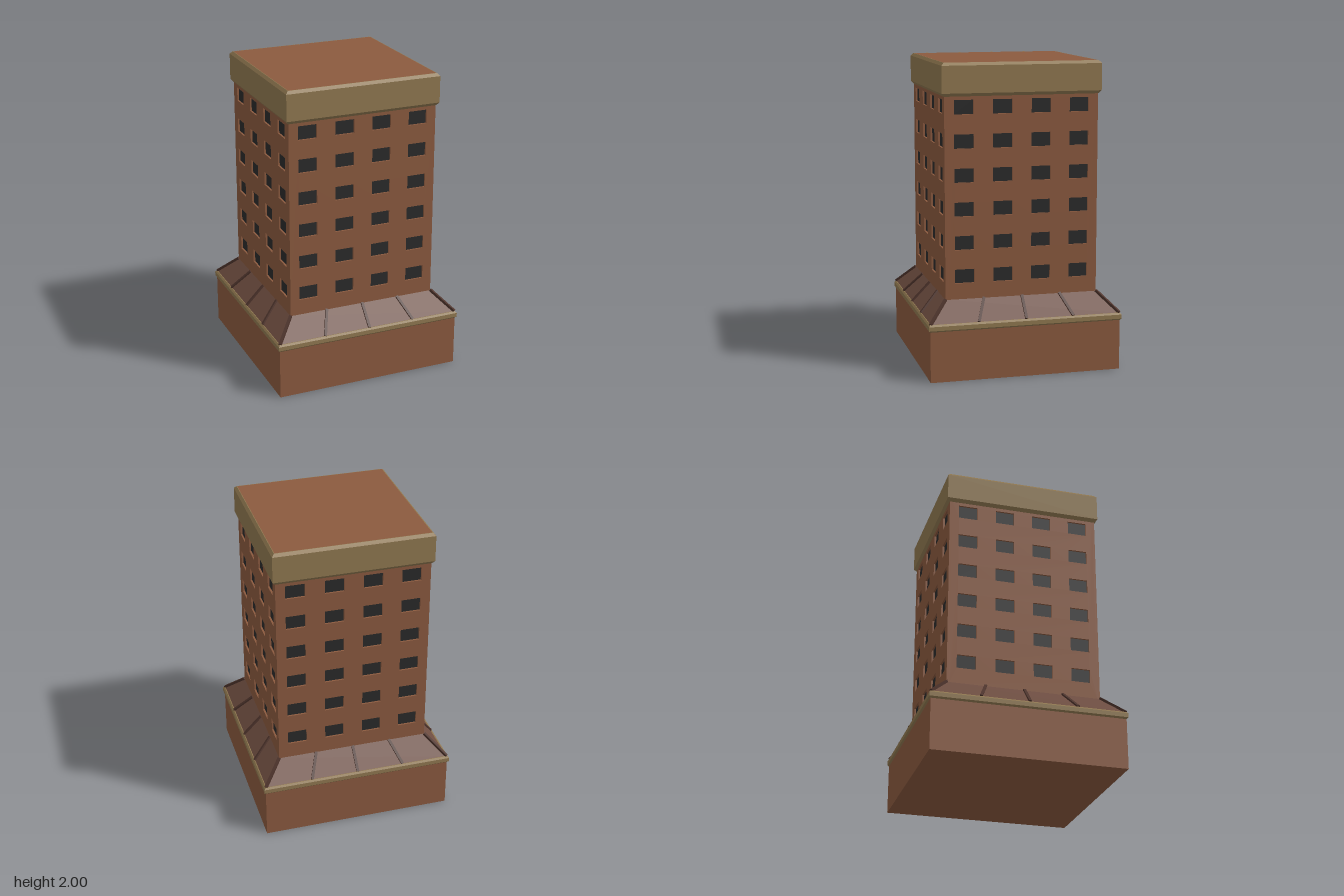
import * as THREE from 'three';

const mat = (color) => new THREE.MeshStandardMaterial({ color, flatShading: true });
const brick = mat(0x8b5a3f), trim = mat(0x907850), slate = mat(0x6f4e41), ribDark = mat(0x4e342c), glass = mat(0x2a2a2a);

function addMesh(parent, name, geometry, material) {
  const mesh = new THREE.Mesh(geometry, material);
  mesh.name = name;
  parent.add(mesh);
  return mesh;
}

// Four-sided ring or solid; profile is [half width, height] from bottom to top
function squareProfile(profile) {
  const points = profile.map(([half, y]) => new THREE.Vector2(half * Math.SQRT2, y));
  const geometry = new THREE.LatheGeometry(points, 4, Math.PI / 4).toNonIndexed();
  geometry.computeVertexNormals();
  return geometry;
}

// Raised seam lying on a slope, from point a to point b, facing along the given normal
function addRib(parent, name, a, b, normal) {
  const dir = b.clone().sub(a);
  const length = dir.length();
  dir.normalize();
  const side = new THREE.Vector3().crossVectors(dir, normal).normalize();
  const up = new THREE.Vector3().crossVectors(side, dir);
  const rib = addMesh(parent, name, new THREE.BoxGeometry(0.018, length, 0.018), ribDark);
  rib.quaternion.setFromRotationMatrix(new THREE.Matrix4().makeBasis(side, dir, up));
  rib.position.copy(a).add(b).multiplyScalar(0.5);
}

const RECESS = 0.014, WALL_BOTTOM = 0.49, WALL_TOP = 1.8;
const columns = [-0.375, -0.125, 0.125, 0.375];
const rows = Array.from({ length: 6 }, (_, i) => 0.648 + i * 0.215);

// Wall panel with an opening for each window
function wallGeometry(half) {
  const shape = new THREE.Shape([
    new THREE.Vector2(-half, WALL_BOTTOM), new THREE.Vector2(half, WALL_BOTTOM),
    new THREE.Vector2(half, WALL_TOP), new THREE.Vector2(-half, WALL_TOP),
  ]);
  for (const x of columns) for (const y of rows) {
    const w = 0.0625, h = 0.045;
    shape.holes.push(new THREE.Path([
      new THREE.Vector2(x - w, y - h), new THREE.Vector2(x - w, y + h),
      new THREE.Vector2(x + w, y + h), new THREE.Vector2(x + w, y - h),
    ]));
  }
  return new THREE.ExtrudeGeometry(shape, { depth: RECESS, bevelEnabled: false });
}

export function createModel() {
  const model = new THREE.Group();
  model.name = 'towerBlock';

  // Ground floor and its ledge
  addMesh(model, 'groundFloor', new THREE.BoxGeometry(1.25, 0.34, 1.25), brick).position.y = 0.17;
  addMesh(model, 'ledge', squareProfile([
    [0.6, 0.328], [0.625, 0.328], [0.635, 0.338], [0.635, 0.365], [0.625, 0.376], [0.5, 0.376],
  ]), trim);

  // Sloping skirt roof
  addMesh(model, 'skirtRoof', squareProfile([[0.622, 0.374], [0.498, 0.502]]), slate);

  for (let i = 0; i < 4; i++) {
    const face = new THREE.Group();
    face.name = ['frontSide', 'leftSide', 'backSide', 'rightSide'][i];
    face.rotation.y = i * Math.PI / 2;
    model.add(face);

    // Wall with recessed windows
    const wall = addMesh(face, 'wall', wallGeometry(i % 2 ? 0.5 - RECESS : 0.5), brick);
    wall.position.z = 0.5 - RECESS;
    for (const x of columns) for (const y of rows) {
      addMesh(face, 'windowPane', new THREE.BoxGeometry(0.125, 0.09, 0.01), glass)
        .position.set(x, y, 0.5 - RECESS - 0.003);
    }

    // Roof seams fanning down the slope, the last one on the corner
    for (const f of [-0.5, 0, 0.5, 1]) {
      addRib(face, f === 1 ? 'cornerRib' : 'roofRib',
        new THREE.Vector3(f * 0.622, 0.376, 0.622), new THREE.Vector3(f * 0.5, 0.502, 0.5),
        new THREE.Vector3(f === 1 ? 1 : 0, 1, 1));
    }
  }

  // Parapet band and flat roof
  addMesh(model, 'parapet', squareProfile([
    [0.48, 1.79], [0.502, 1.79], [0.518, 1.81], [0.518, 1.982], [0.502, 2], [0.498, 2],
  ]), trim);
  addMesh(model, 'flatRoof', new THREE.BoxGeometry(1, 0.04, 1), brick).position.y = 1.979;

  return model;
}
